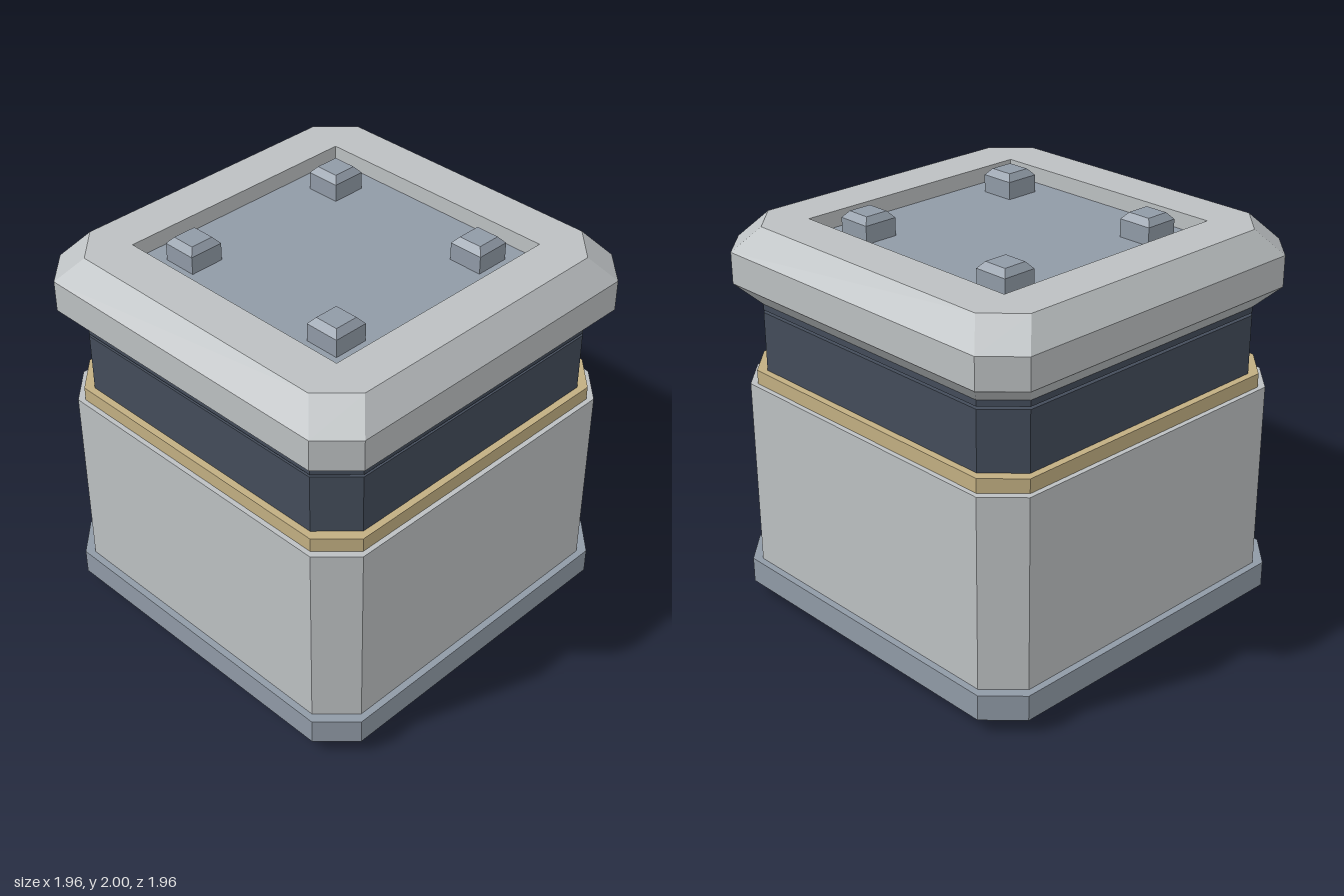
import * as THREE from 'three';

const CUT = 0.16; // corner chamfer shared by every layer

const material = (name, color) => {
  const m = new THREE.MeshStandardMaterial({ color });
  m.name = name;
  return m;
};

// Square outline with cut corners, counter-clockwise
function outline(h) {
  const f = h - CUT;
  return [[f, -h], [h, -f], [h, f], [f, h], [-f, h], [-h, f], [-h, -f], [-f, -h]];
}

// Stack of chamfered-square rings [half width, y], with optional end caps
function loft(rings, capBottom = true, capTop = true) {
  const loops = rings.map(([h, y]) => outline(h).map(([x, d]) => [x, y, -d]));
  const pos = [];
  const tri = (a, b, c) => pos.push(...a, ...b, ...c);
  for (let r = 0; r + 1 < loops.length; r++) {
    for (let i = 0; i < 8; i++) {
      const j = (i + 1) % 8;
      const [lo, hi] = [loops[r], loops[r + 1]];
      tri(lo[i], lo[j], hi[j]);
      tri(lo[i], hi[j], hi[i]);
    }
  }
  const bottom = loops[0], top = loops[loops.length - 1];
  for (let i = 1; i < 7; i++) {
    if (capBottom) tri(bottom[0], bottom[i + 1], bottom[i]);
    if (capTop) tri(top[0], top[i], top[i + 1]);
  }
  const g = new THREE.BufferGeometry();
  g.setAttribute('position', new THREE.Float32BufferAttribute(pos, 3));
  g.computeVertexNormals();
  return g;
}

// Chamfered slab with square holes [x, z, half width]
function piercedSlab(h, y0, y1, holes) {
  const shape = new THREE.Shape(outline(h).map(([x, y]) => new THREE.Vector2(x, y)));
  for (const [x, z, s] of holes) {
    shape.holes.push(new THREE.Path([[-s, -s], [-s, s], [s, s], [s, -s]]
      .map(([u, v]) => new THREE.Vector2(x + u, -z + v))));
  }
  return new THREE.ExtrudeGeometry(shape, { depth: y1 - y0, bevelEnabled: false })
    .rotateX(-Math.PI / 2).translate(0, y0, 0);
}

export function createModel() {
  const model = new THREE.Group();
  model.name = 'container';
  const lightGrey = material('lightGrey', 0xbcc0c2);
  const slate = material('slate', 0x909aa6);
  const navy = material('navy', 0x434c5a);
  const gold = material('gold', 0xc2af82);

  const add = (name, geometry, mat, parent = model) => {
    const mesh = new THREE.Mesh(geometry, mat);
    mesh.name = name;
    parent.add(mesh);
    return mesh;
  };

  const corners = [[-1, -1], [1, -1], [1, 1], [-1, 1]].map(([a, b]) => [a * 0.455, b * 0.455]);

  // Base: sloped skirt, underside with four stacking sockets, band above
  add('baseSkirt', loft([[0.9, 0], [0.98, 0.075]], false, false), navy);
  add('baseUnderside', piercedSlab(0.9, 0, 0.06, corners.map(([x, z]) => [x, z, 0.09])), navy);
  add('socketCeiling', loft([[0.9, 0.06], [0.9, 0.07]]), navy);
  add('baseBand', loft([[0.98, 0.075], [0.98, 0.205]]), slate);

  // Body, trim and neck
  add('body', loft([[0.945, 0.205], [0.945, 1.17]]), lightGrey);
  add('trimBand', loft([[0.92, 1.17], [0.92, 1.24]]), gold);
  add('neck', loft([[0.885, 1.24], [0.885, 1.537]]), navy);

  // Lid, floating just above the neck
  const lid = new THREE.Group();
  lid.name = 'lid';
  model.add(lid);
  add('lidSeal', loft([[0.885, 1.55], [0.885, 1.58]]), navy, lid);
  add('lidShell', loft([[0.885, 1.58], [0.98, 1.68], [0.98, 1.835], [0.875, 1.96]], true, false), lightGrey, lid);
  add('lidRim', piercedSlab(0.875, 1.88, 1.96, [[0, 0, 0.65]]), lightGrey, lid);
  const panel = add('lidPanel', new THREE.BoxGeometry(1.32, 0.02, 1.32), slate, lid);
  panel.position.y = 1.87;

  // Four stacking studs standing in the lid recess
  for (const [x, z] of corners) {
    const stud = new THREE.Group();
    stud.name = 'stud';
    stud.position.set(x, 0, z);
    lid.add(stud);
    add('studBlock', new THREE.BoxGeometry(0.176, 0.09, 0.176), slate, stud).position.y = 1.923;
    const cap = new THREE.CylinderGeometry(0.06 * Math.SQRT2, 0.088 * Math.SQRT2, 0.032, 4)
      .rotateY(Math.PI / 4).toNonIndexed();
    cap.computeVertexNormals();
    add('studCap', cap, slate, stud).position.y = 1.984;
  }
  return model;
}
